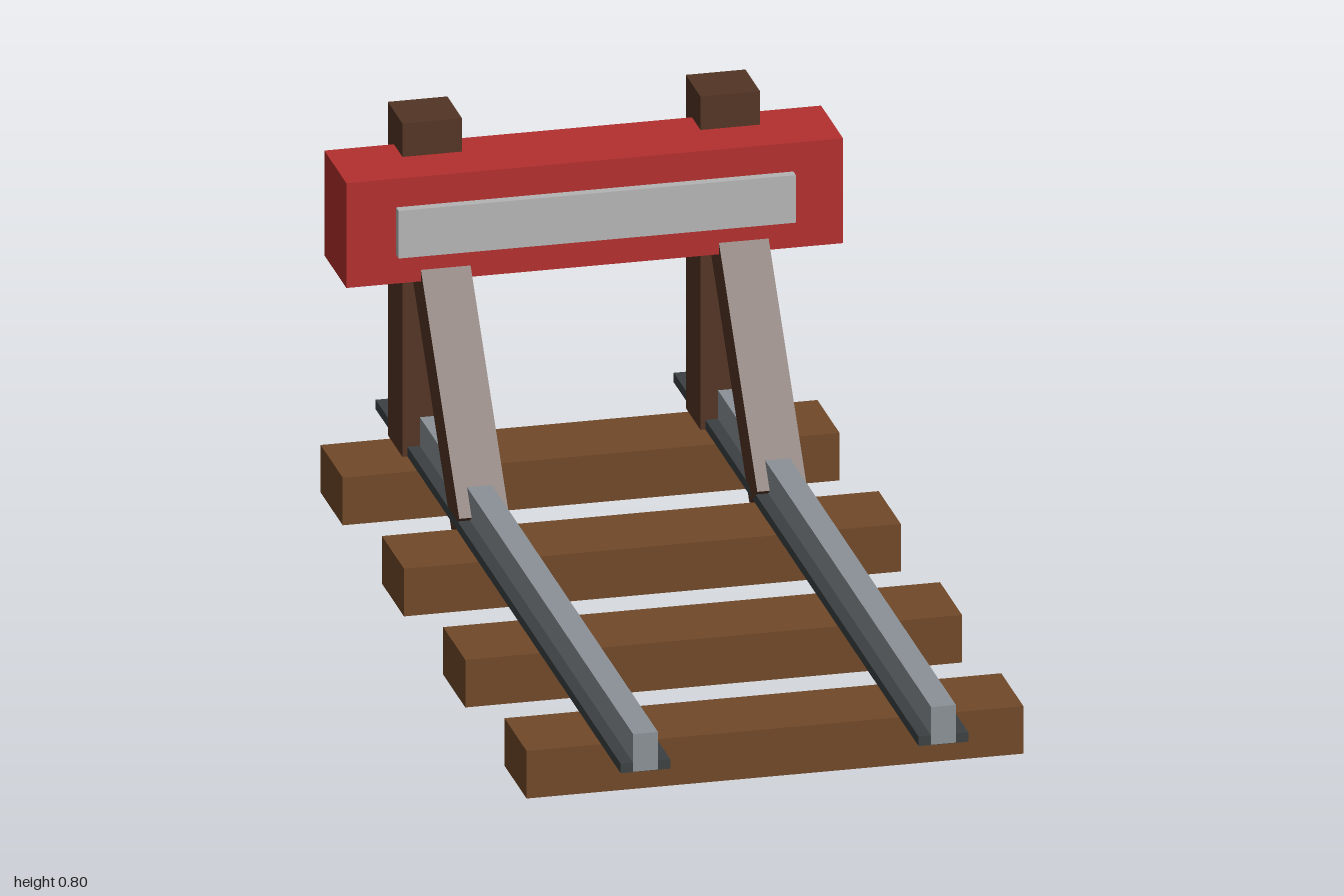
import * as THREE from 'three';

const paint = (color) => new THREE.MeshStandardMaterial({ color });

export function createModel() {
  const model = new THREE.Group();
  model.name = 'trackEndStop';

  const sleeperWood = paint(0x704828);
  const darkWood = paint(0x523424);
  const red = paint(0xb22f2d);
  const plateGrey = paint(0xb4b4b4);
  const steel = paint(0x8a9196);
  const darkSteel = paint(0x3c4042);

  // Box given by its size and centre
  const box = (name, material, size, centre) => {
    const mesh = new THREE.Mesh(new THREE.BoxGeometry(...size), material);
    mesh.name = name;
    mesh.position.set(...centre);
    model.add(mesh);
    return mesh;
  };

  // Sleepers
  for (const z of [0.75, 0.25, -0.25, -0.75]) {
    box('sleeper', sleeperWood, [1, 0.1, 0.18], [0, 0.05, z]);
  }

  for (const [side, x] of [['left', 0.3], ['right', -0.3]]) {
    // Rail: wide foot with a narrow head, the head ending just proud of the foot
    box(side + 'RailFoot', darkSteel, [0.1, 0.02, 1.998], [x, 0.11, 0]);
    box(side + 'RailHead', steel, [0.05, 0.079, 2], [x, 0.1405, 0]);

    // Upright post and the sloping brace running through it
    box(side + 'Post', darkWood, [0.12, 0.7, 0.12], [x, 0.45, -0.8]);
    const brace = box(side + 'Brace', darkWood, [0.1, 0.82, 0.08], [x, 0.43, -0.6]);
    brace.rotation.x = -0.66;
  }

  // Cross beam with its striking plate
  box('crossBeam', red, [1, 0.22, 0.18], [0, 0.62, -0.72]);
  box('strikingPlate', plateGrey, [0.8, 0.1, 0.03], [0, 0.62, -0.625]);

  return model;
}
